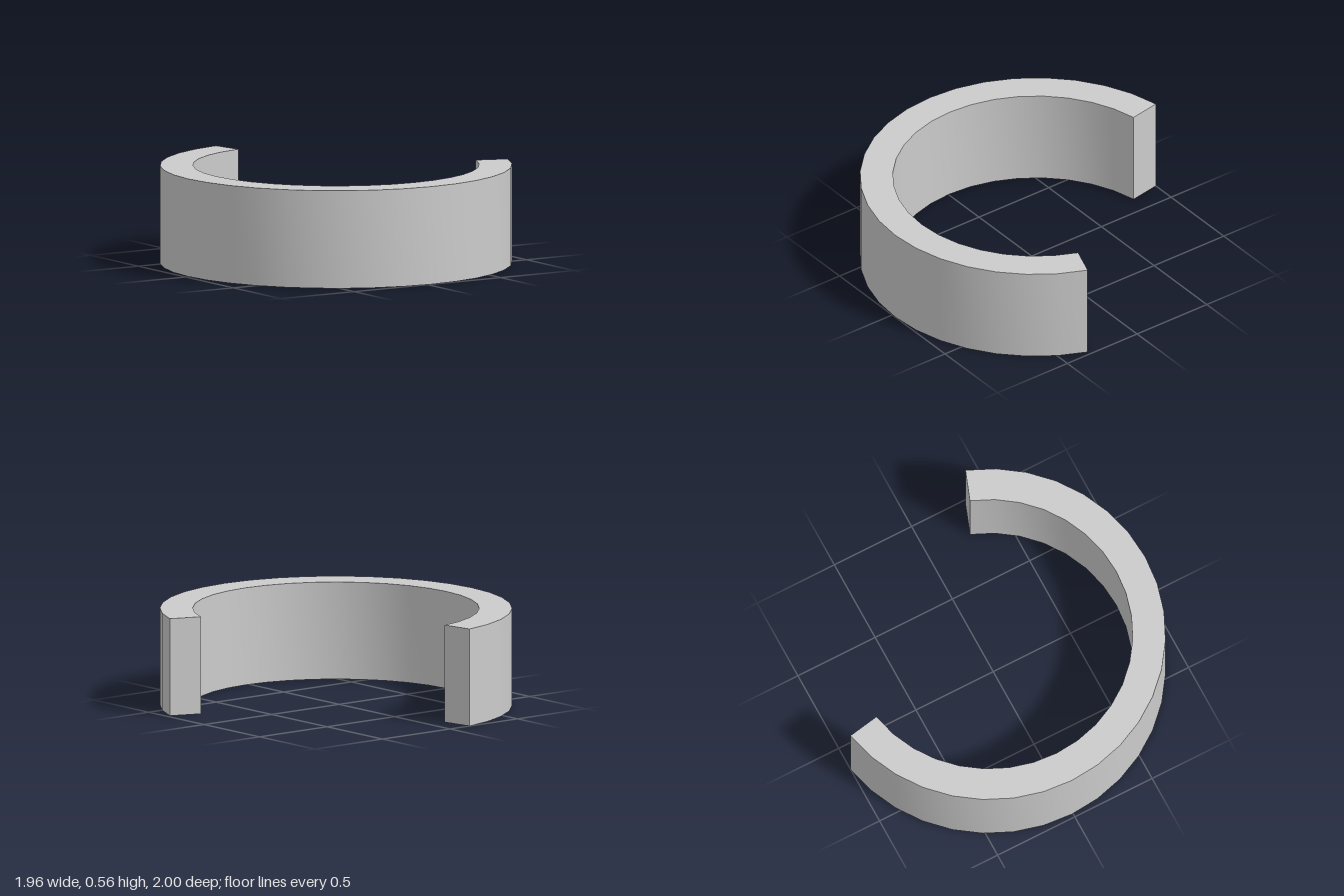
import * as THREE from 'three';
import { toCreasedNormals } from 'three/addons/utils/BufferGeometryUtils.js';

const OUTER = 1.008, INNER = 0.82, HEIGHT = 0.565;
const START = 20, END = 260, STEP = 10; // degrees from +x towards +z

// Points along an arc of the open ring
function arc(radius) {
  const points = [];
  for (let deg = START; deg <= END; deg += STEP) {
    const a = THREE.MathUtils.degToRad(deg);
    points.push(new THREE.Vector2(radius * Math.cos(a), radius * Math.sin(a)));
  }
  return points;
}

export function createModel() {
  const group = new THREE.Group();
  group.name = 'openRing';

  // Plan outline: outer arc out, inner arc back
  const outline = new THREE.Shape([...arc(OUTER), ...arc(INNER).reverse()]);
  const extruded = new THREE.ExtrudeGeometry(outline, { depth: HEIGHT, bevelEnabled: false });

  // Lay the extrusion flat and centre the cut ring on its bounds
  extruded.rotateX(Math.PI / 2);
  extruded.translate(0.03, HEIGHT, -0.008);

  // Smooth round walls, sharp rims and cut ends
  const band = new THREE.Mesh(
    toCreasedNormals(extruded, Math.PI / 6),
    new THREE.MeshStandardMaterial({ color: 0xcccccc })
  );
  band.name = 'ringBand';
  group.add(band);
  return group;
}
